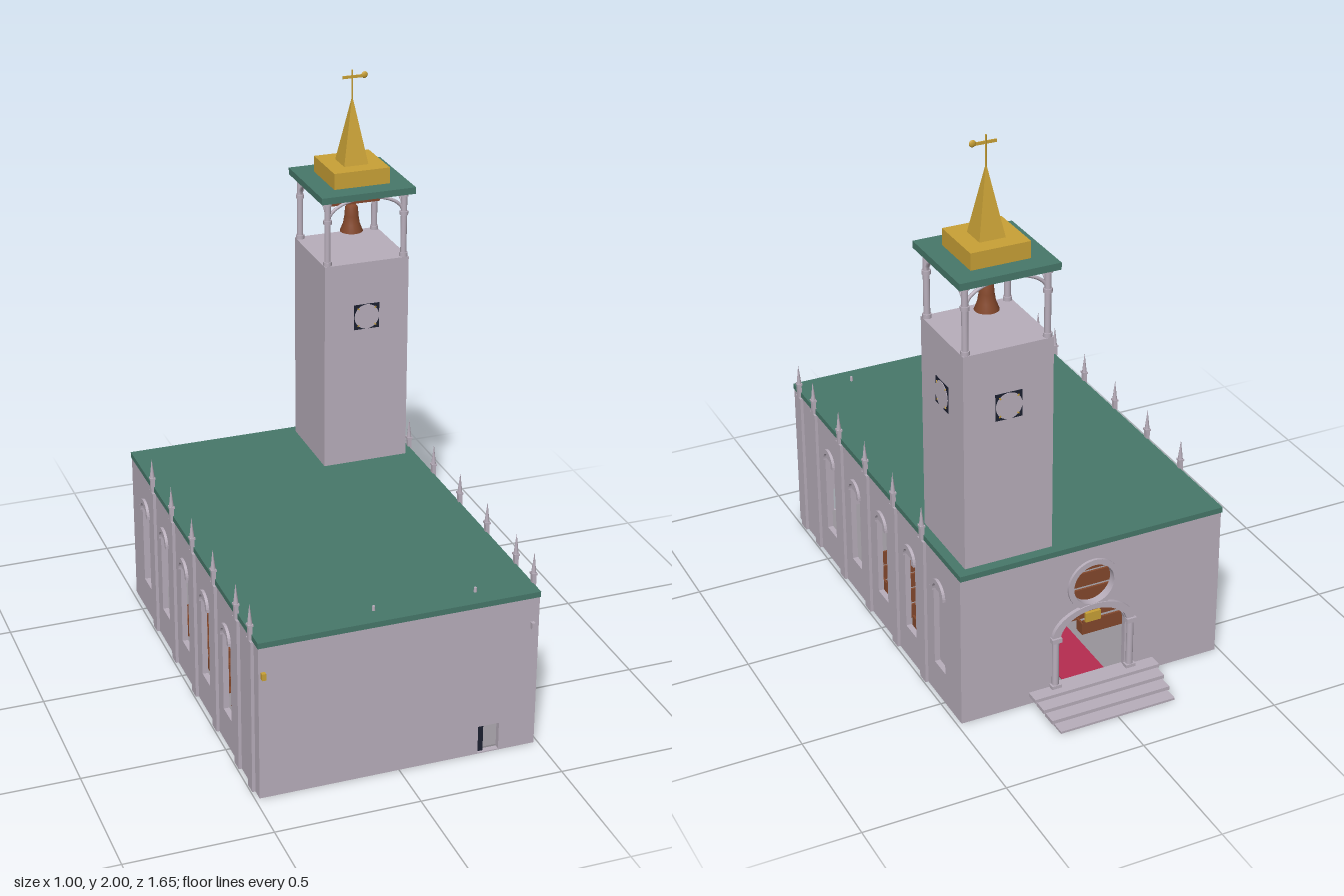
import * as THREE from 'three';
import { toCreasedNormals } from 'three/addons/utils/BufferGeometryUtils.js';

const mat = (name, color) => {
  const m = new THREE.MeshStandardMaterial({ color });
  m.name = name;
  return m;
};

export function createModel() {
  const root = new THREE.Group();
  root.name = 'church';
  const stone = mat('lilac stone', 0xb8aebb), green = mat('green roof', 0x47786a);
  const gold = mat('gold', 0xc9a136), brown = mat('copper brown', 0x84482c);
  const red = mat('crimson carpet', 0xb52c50), floorGrey = mat('floor grey', 0x98949a);
  const dark = mat('dark navy', 0x1b2030);

  const add = (name, geo, m, x = 0, y = 0, z = 0, parent = root) => {
    const mesh = new THREE.Mesh(geo, m);
    mesh.name = name;
    mesh.position.set(x, y, z);
    parent.add(mesh);
    return mesh;
  };
  // box given by its min and max on each axis
  const box = (name, m, x0, x1, y0, y1, z0, z1, parent = root) =>
    add(name, new THREE.BoxGeometry(x1 - x0, y1 - y0, z1 - z0), m, (x0 + x1) / 2, (y0 + y1) / 2, (z0 + z1) / 2, parent);
  const group = (name, x = 0, y = 0, z = 0, parent = root) => {
    const g = new THREE.Group();
    g.name = name;
    g.position.set(x, y, z);
    parent.add(g);
    return g;
  };
  const rect = (C, x0, x1, y0, y1) => {
    const s = new C();
    s.moveTo(x0, y0); s.lineTo(x1, y0); s.lineTo(x1, y1); s.lineTo(x0, y1); s.closePath();
    return s;
  };
  const extrude = (shape, depth) => toCreasedNormals(
    new THREE.ExtrudeGeometry(shape, { depth, bevelEnabled: false, curveSegments: 20 }), 0.6);
  // half ring moulding, open downwards
  const halfRing = (inner, outer, rise, depth) => {
    const s = new THREE.Shape();
    s.moveTo(outer, 0);
    s.absellipse(0, 0, outer, outer * rise, 0, Math.PI, false);
    s.lineTo(-inner, 0);
    s.absellipse(0, 0, inner, inner * rise, Math.PI, 0, true);
    s.closePath();
    return extrude(s, depth);
  };

  const T = 0.02, TOP = 0.56, X = 0.485, ZB = -0.632, ZF = 0.81;
  const windows = [0.48, 0.245, 0.01, -0.23, -0.465];
  const pilasters = [0.745, 0.605, 0.365, 0.13, -0.11, -0.345];

  // side walls with tall window openings, mouldings, pilasters and pinnacles
  for (const s of [1, -1]) {
    const side = group(s > 0 ? 'leftSide' : 'rightSide');
    const wall = rect(THREE.Shape, ZB, ZF, 0, TOP);
    for (const z of windows) wall.holes.push(rect(THREE.Path, z - 0.042, z + 0.042, 0.12, 0.42));
    add('sideWall', extrude(wall, T).rotateY(-Math.PI / 2), stone, s > 0 ? X : -X + T, 0, 0, side);
    for (const z of windows) {
      const arch = add('windowArch', halfRing(0.034, 0.05, 1, 0.01), stone, s * X, 0.418, z, side);
      arch.rotation.y = s * Math.PI / 2;
      for (const e of [-1, 1])
        add('archFoot', new THREE.BoxGeometry(0.012, 0.012, 0.018), stone, s * (X + 0.004), 0.418, z + e * 0.043, side);
    }
    for (const z of pilasters) {
      add('pilaster', new THREE.BoxGeometry(0.014, TOP, 0.044), stone, s * 0.489, TOP / 2, z, side);
      const p = group('pinnacle', s * 0.49, TOP, z, side);
      add('pinnacleBase', new THREE.BoxGeometry(0.014, 0.05, 0.016), stone, 0, 0.025, 0, p);
      add('pinnacleCollar', new THREE.BoxGeometry(0.019, 0.007, 0.022), stone, 0, 0.052, 0, p);
      add('pinnacleSpire', new THREE.ConeGeometry(0.009, 0.075, 8), stone, 0, 0.0925, 0, p);
    }
  }

  // front wall with a small doorway
  const front = rect(THREE.Shape, -X, X, 0, TOP);
  front.holes.push(rect(THREE.Path, 0.28, 0.355, 0.004, 0.105));
  add('frontWall', extrude(front, T), stone, 0, 0, ZF - T);
  box('smallDoor', dark, 0.28, 0.302, 0.004, 0.105, ZF - 0.016, ZF - 0.008);
  box('goldLamp', gold, -0.477, -0.463, 0.448, 0.472, ZF, ZF + 0.014);
  box('stoneLamp', stone, 0.455, 0.467, 0.448, 0.472, ZF, ZF + 0.014);

  // entrance wall with an arched doorway and a round window
  const back = rect(THREE.Shape, -X, X, 0, TOP);
  const door = new THREE.Path();
  door.moveTo(-0.125, 0.045);
  door.lineTo(0.125, 0.045);
  door.lineTo(0.125, 0.23);
  door.absellipse(0, 0.23, 0.125, 0.08, 0, Math.PI, false);
  door.closePath();
  const rose = new THREE.Path();
  rose.absarc(0, 0.415, 0.075, 0, Math.PI * 2, false);
  back.holes.push(door, rose);
  add('entranceWall', extrude(back, T), stone, 0, 0, ZB);
  const ring = new THREE.Shape();
  ring.absarc(0, 0, 0.095, 0, Math.PI * 2, false);
  const ringHole = new THREE.Path();
  ringHole.absarc(0, 0, 0.075, 0, Math.PI * 2, false);
  ring.holes.push(ringHole);
  add('roundWindowRim', extrude(ring, 0.012), stone, 0, 0.415, ZB - 0.01);
  add('doorArch', halfRing(0.125, 0.155, 0.68, 0.016), stone, 0, 0.235, ZB - 0.014);
  for (const s of [-1, 1]) {
    add('doorColumn', new THREE.CylinderGeometry(0.012, 0.012, 0.19, 16), stone, s * 0.141, 0.14, ZB - 0.008);
    box('columnCapital', stone, s * 0.141 - 0.018, s * 0.141 + 0.018, 0.228, 0.245, ZB - 0.022, ZB);
    box('columnFoot', stone, s * 0.141 - 0.018, s * 0.141 + 0.018, 0.03, 0.058, ZB - 0.022, ZB);
  }
  box('doorEmblem', gold, -0.028, 0.028, 0.27, 0.305, ZB - 0.008, ZB + 0.004);

  // entrance steps
  [0.046, 0.034, 0.021, 0.008].forEach((h, i) => {
    const w = 0.236 - i * 0.007, z = -0.68 - i * 0.049;
    box('step', stone, -w, w, Math.max(0, h - 0.014), h, z, i ? z + 0.055 : ZB);
  });

  // main roof slab
  box('mainRoof', green, -0.487, 0.487, TOP, 0.58, -0.638, 0.813);
  for (const x of [-0.07, 0.285]) add('roofKnob', new THREE.CylinderGeometry(0.005, 0.006, 0.016, 8), stone, x, 0.588, 0.74);

  // interior: floor, carpet, pews and altar
  box('floor', floorGrey, -X + T, X - T, 0.002, 0.01, ZB + T, ZF - T);
  box('carpet', red, -0.08, 0.08, 0, 0.014, ZB + 0.005, ZF - T);
  for (let i = 0; i < 9; i++) {
    const z = -0.36 + i * 0.09;
    for (const s of [-1, 1]) {
      if (s > 0 && z < -0.24) continue;
      const pew = group('pew', s * 0.255, 0, z);
      box('pewBack', brown, -0.145, 0.145, 0, 0.065, -0.005, 0.003, pew);
      box('pewSeat', brown, -0.145, 0.145, 0.03, 0.036, 0, 0.035, pew);
      for (const e of [-1, 1]) box('pewEnd', brown, e * 0.145 - 0.004, e * 0.145 + 0.004, 0, 0.055, -0.005, 0.037, pew);
    }
  }
  box('altar', gold, -0.09, 0.09, -0.001, 0.09, 0.54, 0.59);
  box('cabinet', dark, -0.31, -0.2, 0.1, 0.3, 0.77, 0.785);

  // bell tower
  const tower = group('tower', 0.296, 0, -0.445);
  const H = 0.157;
  box('towerShaft', stone, -H, H, 0.002, 1.35, -H, H, tower);

  // clocks on three sides
  for (const turn of [0, Math.PI / 2, Math.PI]) {
    const clock = group('clock', 0, 1.145, 0, tower);
    clock.rotation.y = turn;
    box('clockPlate', dark, -0.047, 0.047, -0.047, 0.047, H - 0.002, H + 0.002, clock);
    add('clockFace', new THREE.CylinderGeometry(0.046, 0.046, 0.004, 32).rotateX(Math.PI / 2), stone, 0, 0, H + 0.002, clock);
    for (let i = 0; i < 4; i++) {
      const a = i * Math.PI / 2 + Math.PI / 4;
      const tick = add('clockTick', new THREE.BoxGeometry(0.009, 0.004, 0.002), gold, Math.cos(a) * 0.045, Math.sin(a) * 0.045, H + 0.004, clock);
      tick.rotation.z = a;
    }
  }

  // belfry columns and arches
  for (let i = 0; i < 4; i++) {
    const bay = group('belfryBay', 0, 0, 0, tower);
    bay.rotation.y = i * Math.PI / 2;
    add('belfryColumn', new THREE.CylinderGeometry(0.011, 0.011, 0.235, 16), stone, 0.142, 1.4675, 0.142, bay);
    for (const y of [1.357, 1.51, 1.579])
      add('columnBand', new THREE.CylinderGeometry(0.015, 0.015, 0.014, 16), stone, 0.142, y, 0.142, bay);
    const pts = [];
    for (let k = 0; k <= 12; k++) {
      const a = Math.PI * k / 12;
      pts.push(new THREE.Vector3(Math.cos(a) * 0.138, 1.515 + Math.sin(a) * 0.068, 0.142));
    }
    add('belfryArch', new THREE.TubeGeometry(new THREE.CatmullRomCurve3(pts), 24, 0.006, 8), stone, 0, 0, 0, bay);
  }

  // bell and its hanger
  box('bellBeam', brown, -0.105, 0.105, 1.512, 1.521, -0.005, 0.005, tower);
  for (const s of [-1, 1]) box('beamHanger', dark, s * 0.102 - 0.003, s * 0.102 + 0.003, 1.515, 1.59, -0.003, 0.003, tower);
  const bell = [[0, 1.512], [0.016, 1.51], [0.023, 1.5], [0.025, 1.47], [0.03, 1.44], [0.041, 1.412], [0.036, 1.412], [0.022, 1.45], [0, 1.495]]
    .reverse().map(([r, y]) => new THREE.Vector2(r, y));
  const bellMesh = add('bell', new THREE.LatheGeometry(bell, 24), brown, 0, 0, 0, tower);
  bellMesh.material = mat('copper brown bell', 0x84482c);
  bellMesh.material.side = THREE.DoubleSide;
  add('bellRod', new THREE.CylinderGeometry(0.004, 0.004, 0.08, 8), dark, 0, 1.55, 0, tower);

  // tower roof, gold base, spire and vane
  box('towerRoof', green, -0.173, 0.173, 1.586, 1.61, -0.173, 0.173, tower);
  box('spireBase', gold, -0.103, 0.103, 1.61, 1.668, -0.103, 0.103, tower);
  add('spire', new THREE.ConeGeometry(0.045 * Math.SQRT2, 0.24, 4, 1).rotateY(Math.PI / 4).toNonIndexed(), gold, 0, 1.788, 0, tower)
    .geometry.computeVertexNormals();
  add('vaneRod', new THREE.CylinderGeometry(0.003, 0.003, 0.12, 8), gold, 0, 1.94, 0, tower);
  box('vaneBar', gold, -0.036, 0.04, 1.97, 1.98, -0.002, 0.002, tower);
  add('vaneBall', new THREE.SphereGeometry(0.012, 12, 8), gold, 0.045, 1.978, 0, tower).scale.z = 0.4;
  return root;
}
